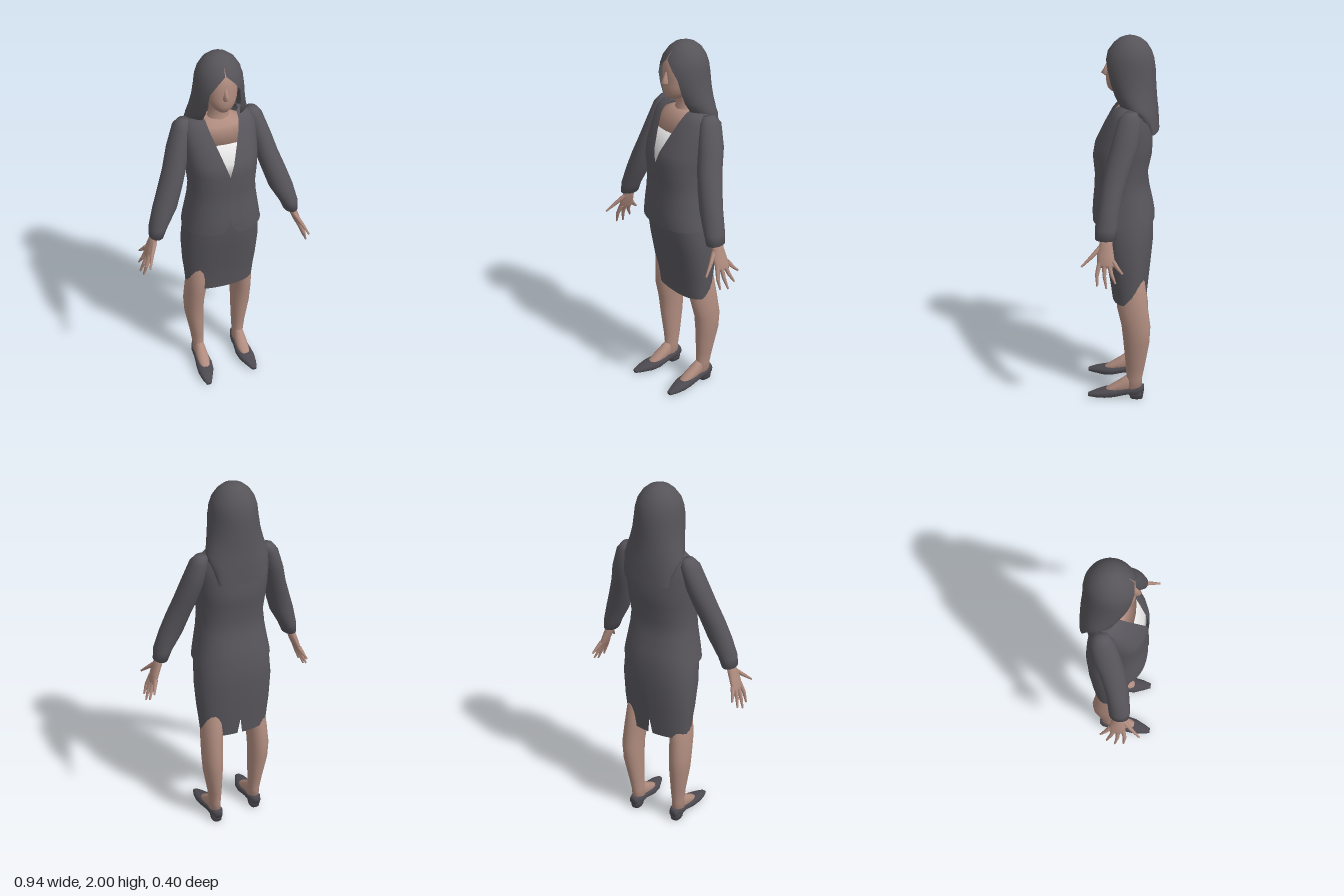
import * as THREE from 'three';

const mat = (name, color, side = THREE.FrontSide) => {
  const m = new THREE.MeshStandardMaterial({ color, side });
  m.name = name;
  return m;
};

// Skin over oval slices, listed top to bottom: [y, centreX, halfWidth, frontZ, backZ, halfOpening].
// halfOpening leaves a gap of that half width, at the front (or at the back when start = PI).
function loft(rows, { n = 20, e = 1, start = 0, caps = true } = {}) {
  const open = rows.some(r => r[5] > 0);
  const cols = open ? n + 1 : n;
  const pos = [], idx = [];
  const pw = v => Math.sign(v) * Math.abs(v) ** e;
  for (const [y, cx, rx, zf, zb, w = 0] of rows) {
    const a0 = Math.asin(Math.min(1, w / rx) ** (1 / e));
    for (let j = 0; j < cols; j++) {
      const a = start + a0 + (2 * Math.PI - 2 * a0) * j / n;
      pos.push(cx + rx * pw(Math.sin(a)), y, (zf + zb) / 2 + (zf - zb) / 2 * pw(Math.cos(a)));
    }
  }
  const at = (i, j) => i * cols + j % cols;
  const last = rows.length - 1;
  for (let i = 0; i < last; i++) for (let j = 0; j < n; j++) {
    const a = at(i, j), b = at(i + 1, j), c = at(i + 1, j + 1), d = at(i, j + 1);
    idx.push(a, b, c, a, c, d);
  }
  const cap = (i, flip) => {
    const [y, cx, , zf, zb] = rows[i];
    const c = pos.length / 3;
    pos.push(cx, y, (zf + zb) / 2);
    for (let j = 0; j < n; j++) {
      if (flip) idx.push(c, at(i, j + 1), at(i, j));
      else idx.push(c, at(i, j), at(i, j + 1));
    }
  };
  if (caps) {
    cap(0, false);
    if (!open) cap(last, true);
  }
  const g = new THREE.BufferGeometry();
  g.setAttribute('position', new THREE.Float32BufferAttribute(pos, 3));
  g.setIndex(idx);
  g.computeVertexNormals();
  return g;
}

// Same skin running along z, listed toe to heel: [z, centreX, halfWidth, top, bottom]
const loftZ = (rows, opt) =>
  loft(rows.map(([z, cx, rx, t, b]) => [z, cx, rx, -b, -t]), opt).rotateX(Math.PI / 2);

// Tapered rod between two points
function rod(a, b, r0, r1) {
  const p = new THREE.Vector3(...a), q = new THREE.Vector3(...b), d = q.clone().sub(p);
  const g = new THREE.CylinderGeometry(r1, r0, d.length(), 7);
  g.applyQuaternion(new THREE.Quaternion().setFromUnitVectors(new THREE.Vector3(0, 1, 0), d.clone().normalize()));
  const m = p.add(q).multiplyScalar(0.5);
  return g.translate(m.x, m.y, m.z);
}

export function createModel() {
  const skin = mat('skin', 0xb08c7f);
  const suit = mat('suit', 0x58565c, THREE.DoubleSide);
  const hairMat = mat('hair', 0x565459, THREE.DoubleSide);
  const shirt = mat('shirt', 0xf2f2f2);
  const shoeMat = mat('shoe', 0x4c4a50);

  const model = new THREE.Group();
  model.name = 'womanInSuit';
  const add = (name, geometry, material, parent = model) => {
    const m = new THREE.Mesh(geometry, material);
    m.name = name;
    parent.add(m);
  };

  // Head, nose and neck
  add('head', loft([
    [1.94, 0, 0.06, 0.035, -0.1], [1.91, 0, 0.08, 0.06, -0.12], [1.87, 0, 0.088, 0.073, -0.13],
    [1.83, 0, 0.088, 0.074, -0.13], [1.79, 0, 0.08, 0.078, -0.11], [1.76, 0, 0.069, 0.077, -0.09],
    [1.735, 0, 0.052, 0.069, -0.07], [1.718, 0, 0.03, 0.053, -0.04],
  ], { e: 0.92 }), skin);
  add('nose', loft([
    [1.86, 0, 0.008, 0.076, 0.05], [1.83, 0, 0.011, 0.09, 0.05],
    [1.808, 0, 0.018, 0.104, 0.05], [1.796, 0, 0.014, 0.085, 0.05],
  ], { n: 8 }), skin);
  add('neck', loft([
    [1.77, 0, 0.05, 0.01, -0.09], [1.7, 0, 0.048, -0.002, -0.09],
    [1.65, 0, 0.056, 0.002, -0.1], [1.6, 0, 0.08, 0.02, -0.11],
  ]), skin);

  // Long hair, parted around the face and falling behind the shoulders
  add('hair', loft([
    [2.0, 0, 0.02, -0.02, -0.07], [1.988, 0, 0.053, 0.01, -0.1], [1.965, 0, 0.082, 0.038, -0.13],
    [1.925, 0, 0.108, 0.068, -0.155, 0.003], [1.885, 0, 0.12, 0.083, -0.168, 0.045],
    [1.835, 0, 0.126, 0.09, -0.175, 0.078], [1.77, 0, 0.134, 0.075, -0.178, 0.086],
    [1.71, 0, 0.147, 0.05, -0.182, 0.09], [1.66, 0, 0.161, 0.02, -0.186, 0.1],
    [1.63, 0, 0.16, -0.03, -0.19, 0.145], [1.58, 0, 0.145, -0.1, -0.193, 0.145],
    [1.52, 0, 0.13, -0.14, -0.196, 0.13],
  ], { n: 32 }), hairMat);

  // Chest and top under the jacket
  add('chest', loft([
    [1.65, 0, 0.07, 0.0, -0.1], [1.62, 0, 0.13, 0.03, -0.12], [1.545, 0, 0.165, 0.078, -0.14],
  ], { n: 24, e: 0.85 }), skin);
  add('top', loft([
    [1.545, 0, 0.166, 0.08, -0.14], [1.45, 0, 0.17, 0.122, -0.14], [1.36, 0, 0.165, 0.132, -0.13],
  ], { n: 24, e: 0.85 }), shirt);

  // Jacket with a V neck and a cut-away hem
  add('jacket', loft([
    [1.67, 0, 0.105, 0.0, -0.12, 0.088], [1.648, 0, 0.165, 0.025, -0.135, 0.084],
    [1.61, 0, 0.19, 0.055, -0.148, 0.075], [1.54, 0, 0.192, 0.092, -0.16, 0.052],
    [1.45, 0, 0.19, 0.135, -0.163, 0.022], [1.385, 0, 0.185, 0.147, -0.16],
    [1.28, 0, 0.176, 0.137, -0.138], [1.2, 0, 0.183, 0.141, -0.148],
    [1.12, 0, 0.196, 0.149, -0.166], [1.07, 0, 0.205, 0.151, -0.175, 0.012],
    [1.03, 0, 0.212, 0.15, -0.178, 0.05],
  ], { n: 32, e: 0.85, caps: false }), suit);

  // Pencil skirt with a slit at the back
  add('skirt', loft([
    [1.12, 0, 0.185, 0.125, -0.15], [1.03, 0, 0.204, 0.125, -0.17], [0.9, 0, 0.214, 0.1, -0.17],
    [0.75, 0, 0.206, 0.07, -0.156], [0.68, 0, 0.198, 0.058, -0.149], [0.585, 0, 0.189, 0.045, -0.14, 0.014],
  ], { n: 32, e: 0.85, start: Math.PI, caps: false }), suit);

  for (const s of [1, -1]) {
    const side = s > 0 ? 'left' : 'right';
    const flip = rows => rows.map(([y, cx, ...rest]) => [y, cx * s, ...rest]);

    // Sleeve
    const arm = new THREE.Group();
    arm.name = side + 'Arm';
    add('sleeve', loft(flip([
      [1.65, 0.18, 0.03, -0.03, -0.09], [1.615, 0.192, 0.046, -0.0, -0.118],
      [1.5, 0.223, 0.057, 0.03, -0.108], [1.4, 0.25, 0.061, 0.056, -0.077],
      [1.3, 0.285, 0.064, 0.076, -0.047], [1.2, 0.32, 0.065, 0.09, -0.025],
      [1.1, 0.362, 0.049, 0.102, -0.012], [1.045, 0.375, 0.038, 0.1, -0.006],
    ])), suit, arm);

    // Hand with spread fingers
    add('palm', loft(flip([
      [1.07, 0.38, 0.022, 0.07, 0.015], [1.02, 0.392, 0.022, 0.078, 0.01], [0.98, 0.407, 0.021, 0.087, 0.003],
      [0.93, 0.425, 0.016, 0.086, -0.006], [0.915, 0.43, 0.01, 0.075, 0.0],
    ]), { n: 12 }), skin, arm);
    const fingers = [
      [[0.392, 1.01, 0.07], [0.42, 0.965, 0.115], [0.445, 0.92, 0.163]],
      [[0.422, 0.94, 0.072], [0.445, 0.88, 0.085], [0.462, 0.825, 0.082]],
      [[0.424, 0.935, 0.048], [0.447, 0.875, 0.047], [0.468, 0.815, 0.035]],
      [[0.424, 0.935, 0.025], [0.444, 0.885, 0.012], [0.462, 0.84, -0.01]],
      [[0.42, 0.945, 0.005], [0.435, 0.915, -0.018], [0.448, 0.888, -0.045]],
    ];
    fingers.forEach((f, i) => {
      const [a, b, c] = f.map(([x, y, z]) => [x * s, y, z]);
      add('finger' + i, rod(a, b, 0.013, 0.01), skin, arm);
      add('fingerTip' + i, rod(b, c, 0.01, 0.005), skin, arm);
    });
    model.add(arm);

    // Leg, the right one a little further forward
    const leg = new THREE.Group();
    leg.name = side + 'Leg';
    leg.position.z = s > 0 ? 0 : 0.03;
    add('calf', loft(flip([
      [0.75, 0.115, 0.065, 0.02, -0.13], [0.56, 0.139, 0.058, 0.012, -0.155],
      [0.45, 0.145, 0.057, -0.014, -0.17], [0.35, 0.143, 0.053, -0.024, -0.165],
      [0.2, 0.131, 0.038, -0.036, -0.14], [0.12, 0.127, 0.032, -0.04, -0.125],
      [0.05, 0.125, 0.032, -0.02, -0.125],
    ])), skin, leg);
    add('instep', loftZ([
      [0.075, s * 0.128, 0.024, 0.052, 0.03], [0.03, s * 0.126, 0.033, 0.083, 0.03],
      [-0.01, s * 0.126, 0.034, 0.112, 0.03], [-0.05, s * 0.126, 0.031, 0.145, 0.03],
      [-0.08, s * 0.126, 0.02, 0.15, 0.03],
    ], { n: 14 }), skin, leg);

    // Pointed shoe and its heel
    add('shoe', loftZ([
      [0.172, s * 0.143, 0.015, 0.025, 0.006], [0.13, s * 0.139, 0.031, 0.04, 0.003],
      [0.08, s * 0.131, 0.045, 0.052, 0.002], [0.03, s * 0.126, 0.047, 0.06, 0.006],
      [-0.04, s * 0.125, 0.039, 0.068, 0.022], [-0.1, s * 0.125, 0.037, 0.08, 0.022],
      [-0.135, s * 0.125, 0.024, 0.08, 0.028],
    ], { n: 14, e: 0.8 }), shoeMat, leg);
    add('heel', loft([
      [0.045, s * 0.125, 0.034, -0.045, -0.135], [0, s * 0.125, 0.027, -0.06, -0.13],
    ], { n: 12, e: 0.7 }), shoeMat, leg);
    model.add(leg);
  }
  return model;
}
